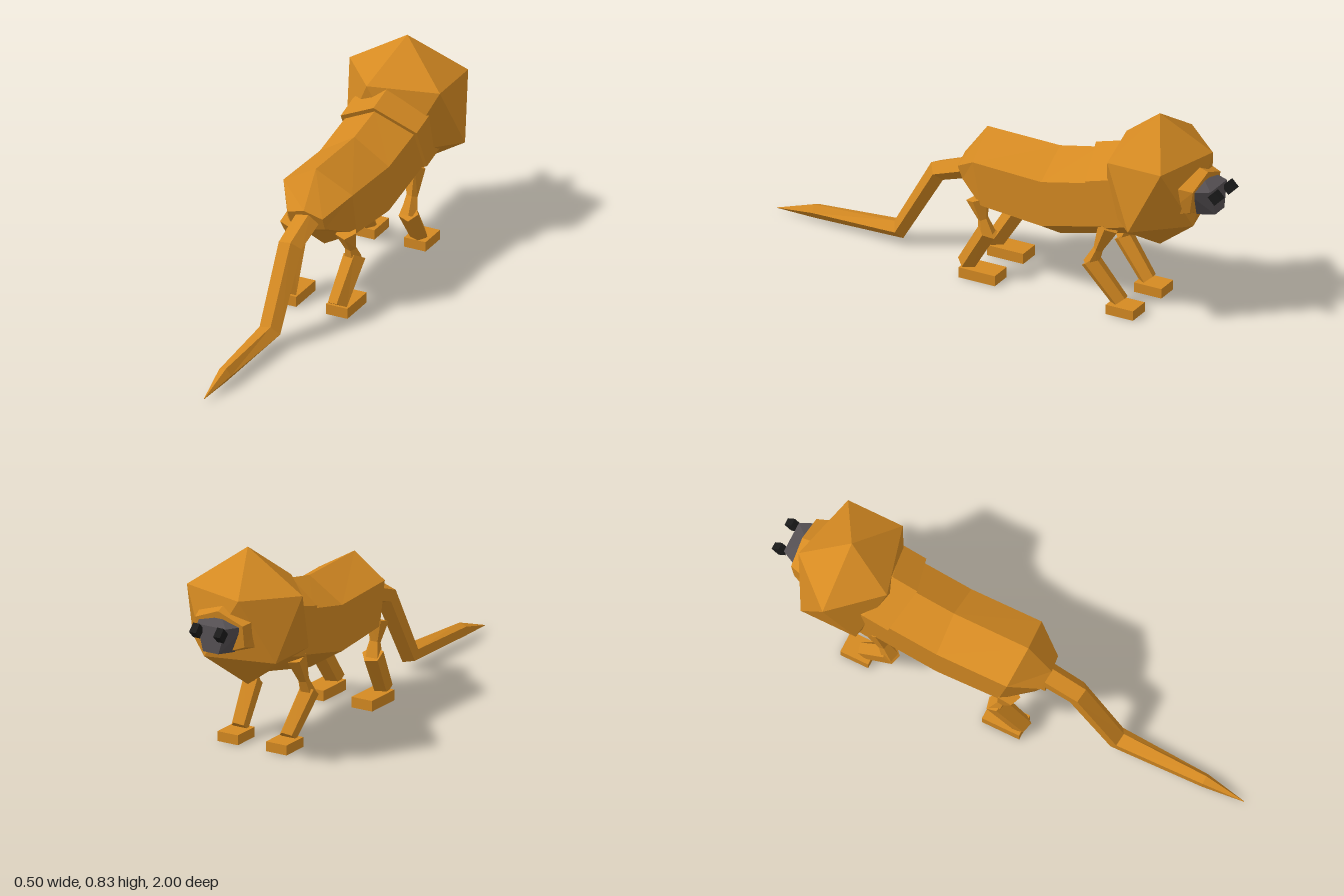
import * as THREE from 'three';
import { ConvexGeometry } from 'three/addons/geometries/ConvexGeometry.js';

const material = (name, color) => {
  const m = new THREE.MeshStandardMaterial({ color, flatShading: true });
  m.name = name;
  return m;
};

// Skin through polygon rings. Row: [x, y, z, rx, ry, tilt]; without tilt the ring follows the path.
function loft(rows, sides, phase = 0) {
  const centres = rows.map(([x, y, z]) => new THREE.Vector3(x, y, z));
  const rings = rows.map(([x, y, z, rx, ry, tilt], i) => {
    let uy, uz;
    if (tilt === undefined) {
      const d = new THREE.Vector3();
      if (i > 0) d.add(centres[i].clone().sub(centres[i - 1]).normalize());
      if (i < rows.length - 1) d.add(centres[i + 1].clone().sub(centres[i]).normalize());
      const len = Math.hypot(d.y, d.z);
      uy = -d.z / len;
      uz = d.y / len;
    } else {
      uy = Math.cos(tilt);
      uz = Math.sin(tilt);
    }
    return Array.from({ length: sides }, (_, k) => {
      const a = phase + (k / sides) * Math.PI * 2;
      const v = Math.cos(a) * ry;
      return new THREE.Vector3(x + Math.sin(a) * rx, y + v * uy, z + v * uz);
    });
  });
  const pts = [];
  const last = rows.length - 1;
  for (let k = 0; k < sides; k++) {
    const n = (k + 1) % sides;
    for (let i = 0; i < last; i++) {
      const [a, b, c, d] = [rings[i][k], rings[i][n], rings[i + 1][k], rings[i + 1][n]];
      pts.push(a, b, c, b, d, c);
    }
    pts.push(centres[0], rings[0][n], rings[0][k]);
    pts.push(centres[last], rings[last][k], rings[last][n]);
  }
  const g = new THREE.BufferGeometry().setFromPoints(pts);
  g.computeVertexNormals();
  return g;
}

export function createModel() {
  const group = new THREE.Group();
  const fur = material('tawny fur', 0xd58a22);
  const grey = material('muzzle grey', 0x555053);
  const black = material('nostril black', 0x1a1a1a);
  const add = (name, geometry, mat) => {
    const mesh = new THREE.Mesh(geometry, mat);
    mesh.name = name;
    group.add(mesh);
    return mesh;
  };
  const PENT = Math.PI / 10;

  // Six-sided trunk, rump to shoulders
  add('body', loft([
    [0, 0.405, 0.15, 0.087, 0.055, 0.4],
    [0, 0.415, 0.035, 0.173, 0.18, 0.2],
    [0, 0.398, -0.25, 0.173, 0.188, 0],
    [0, 0.455, -0.5, 0.173, 0.185, 0.45],
  ], 6), fur);

  // Collar, neck and face, passing through the mane
  add('neckAndHead', loft([
    [0, 0.46, -0.495, 0.19, 0.2, 0.45],
    [0, 0.49, -0.6, 0.19, 0.2, 0.45],
    [0, 0.54, -0.78, 0.17, 0.13, 0.1],
    [0, 0.54, -0.89, 0.125, 0.09, -0.15],
  ], 6), fur);

  // Mane: an icosahedron standing on a vertex, flattened front to back
  const R = 0.28;
  const manePoints = [new THREE.Vector3(0, R, 0), new THREE.Vector3(0, -R, 0)];
  for (let k = 0; k < 5; k++) {
    const a = (k / 5) * Math.PI * 2;
    const r = (R * 2) / Math.sqrt(5);
    const p = new THREE.Vector3(-r * Math.cos(a), r / 2, r * Math.sin(a) * 0.8);
    manePoints.push(p, p.clone().negate());
  }
  add('mane', new ConvexGeometry(manePoints), fur).position.set(0, 0.55, -0.69);

  // Muzzle, narrowing downward and forward
  const muzzle = [new THREE.Vector3(0, 0.605, -0.88)];
  for (const s of [-1, 1]) {
    muzzle.push(
      new THREE.Vector3(s * 0.105, 0.575, -0.87),
      new THREE.Vector3(s * 0.05, 0.46, -0.86),
      new THREE.Vector3(s * 0.065, 0.58, -0.95),
      new THREE.Vector3(s * 0.035, 0.475, -0.955),
    );
  }
  add('muzzle', new ConvexGeometry(muzzle), grey);

  // Tail: drops behind the rump and trails along the ground
  add('tail', loft([
    [0, 0.41, 0.12, 0.053, 0.045],
    [0, 0.352, 0.285, 0.05, 0.043],
    [0, 0.06, 0.455, 0.046, 0.04],
    [0, 0.045, 0.83, 0.028, 0.03],
    [0, 0.015, 1.0, 0.001, 0.001],
  ], 5, PENT), fur);

  for (const s of [-1, 1]) {
    const side = s > 0 ? 'left' : 'right';
    const nostril = add(side + 'Nostril', new THREE.BoxGeometry(0.03, 0.042, 0.042), black);
    nostril.position.set(s * 0.055, 0.56, -0.97);
    nostril.rotation.x = Math.PI / 4;

    // Rear leg
    add(side + 'RearShin', loft([
      [s * 0.11, 0.045, 0.1, 0.04, 0.04],
      [s * 0.13, 0.215, -0.005, 0.046, 0.042],
    ], 5, PENT), fur);
    add(side + 'RearThigh', loft([
      [s * 0.13, 0.2, 0, 0.04, 0.035],
      [s * 0.125, 0.26, 0.02, 0.024, 0.02],
      [s * 0.12, 0.34, 0.045, 0.042, 0.05],
    ], 5, PENT), fur);
    add(side + 'RearFoot', new THREE.BoxGeometry(0.093, 0.043, 0.16), fur)
      .position.set(s * 0.111, 0.0215, 0.03);

    // Front leg
    add(side + 'FrontShin', loft([
      [s * 0.11, 0.045, -0.578, 0.036, 0.034],
      [s * 0.128, 0.2, -0.455, 0.042, 0.04],
    ], 5, PENT), fur);
    add(side + 'FrontUpperLeg', loft([
      [s * 0.128, 0.185, -0.46, 0.036, 0.033],
      [s * 0.125, 0.255, -0.49, 0.024, 0.02],
      [s * 0.12, 0.36, -0.535, 0.04, 0.045],
    ], 5, PENT), fur);
    add(side + 'FrontFoot', new THREE.BoxGeometry(0.093, 0.04, 0.12), fur)
      .position.set(s * 0.111, 0.02, -0.6);
  }
  return group;
}
